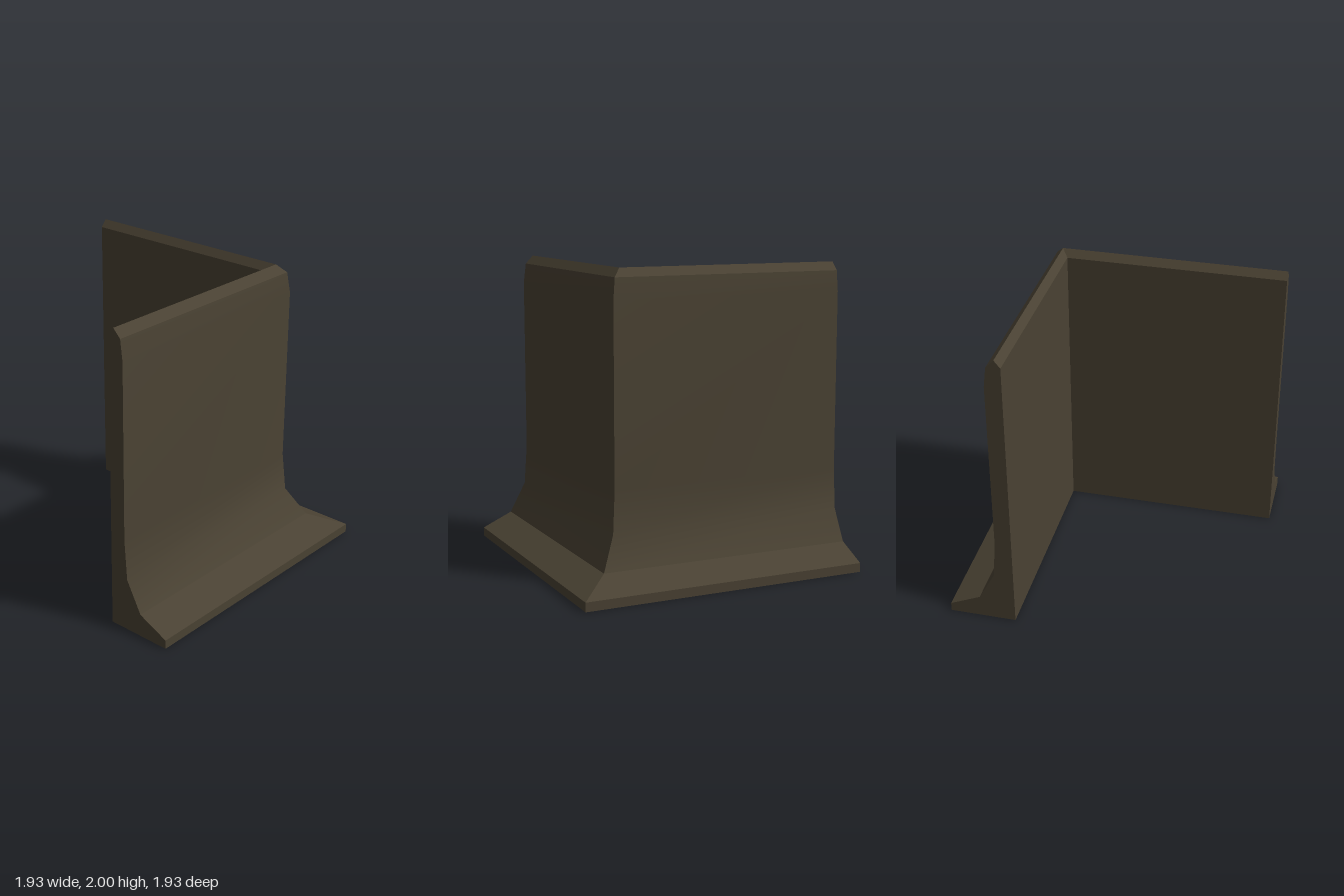
import * as THREE from 'three';
import { toCreasedNormals } from 'three/addons/utils/BufferGeometryUtils.js';

// Skirting cross-section: (distance outward, height), anticlockwise
const PROFILE = [
  [0.52, 0], [0.967, 0], [0.967, 0.06], [0.76, 0.155], [0.65, 0.36], [0.63, 0.63],
  [0.63, 1.81], [0.613, 1.945], [0.56, 2], [0.52, 1.95],
].map(([d, y]) => new THREE.Vector2(d, y));
const END = -0.967;

// One wing runs between two placements of the profile
function wingGeometry(from, to, cap, capReversed) {
  const positions = [];
  const tri = (...pts) => pts.forEach((p) => positions.push(p.x, p.y, p.z));
  const a = PROFILE.map(from);
  const b = PROFILE.map(to);
  // Long faces
  for (let i = 0; i < a.length; i++) {
    const j = (i + 1) % a.length;
    tri(a[i], b[i], b[j]);
    tri(a[i], b[j], a[j]);
  }
  // Cut end
  const ring = PROFILE.map(cap);
  for (const [i, j, k] of THREE.ShapeUtils.triangulateShape(PROFILE, [])) {
    if (capReversed) tri(ring[i], ring[k], ring[j]);
    else tri(ring[i], ring[j], ring[k]);
  }
  const geometry = new THREE.BufferGeometry();
  geometry.setAttribute('position', new THREE.Float32BufferAttribute(positions, 3));
  return toCreasedNormals(geometry, THREE.MathUtils.degToRad(30));
}

export function createModel() {
  const group = new THREE.Group();
  group.name = 'skirtingCorner';
  const darkWood = new THREE.MeshStandardMaterial({ color: 0x4a4233 });
  darkWood.name = 'dark olive wood';

  const frontEnd = (p) => new THREE.Vector3(END, p.y, p.x);
  const mitre = (p) => new THREE.Vector3(p.x, p.y, p.x);
  const sideEnd = (p) => new THREE.Vector3(p.x, p.y, END);

  // Two wings meeting at the mitred outer corner
  const frontWing = new THREE.Mesh(wingGeometry(frontEnd, mitre, frontEnd, false), darkWood);
  frontWing.name = 'frontWing';
  const sideWing = new THREE.Mesh(wingGeometry(mitre, sideEnd, sideEnd, true), darkWood);
  sideWing.name = 'sideWing';
  group.add(frontWing, sideWing);
  return group;
}
